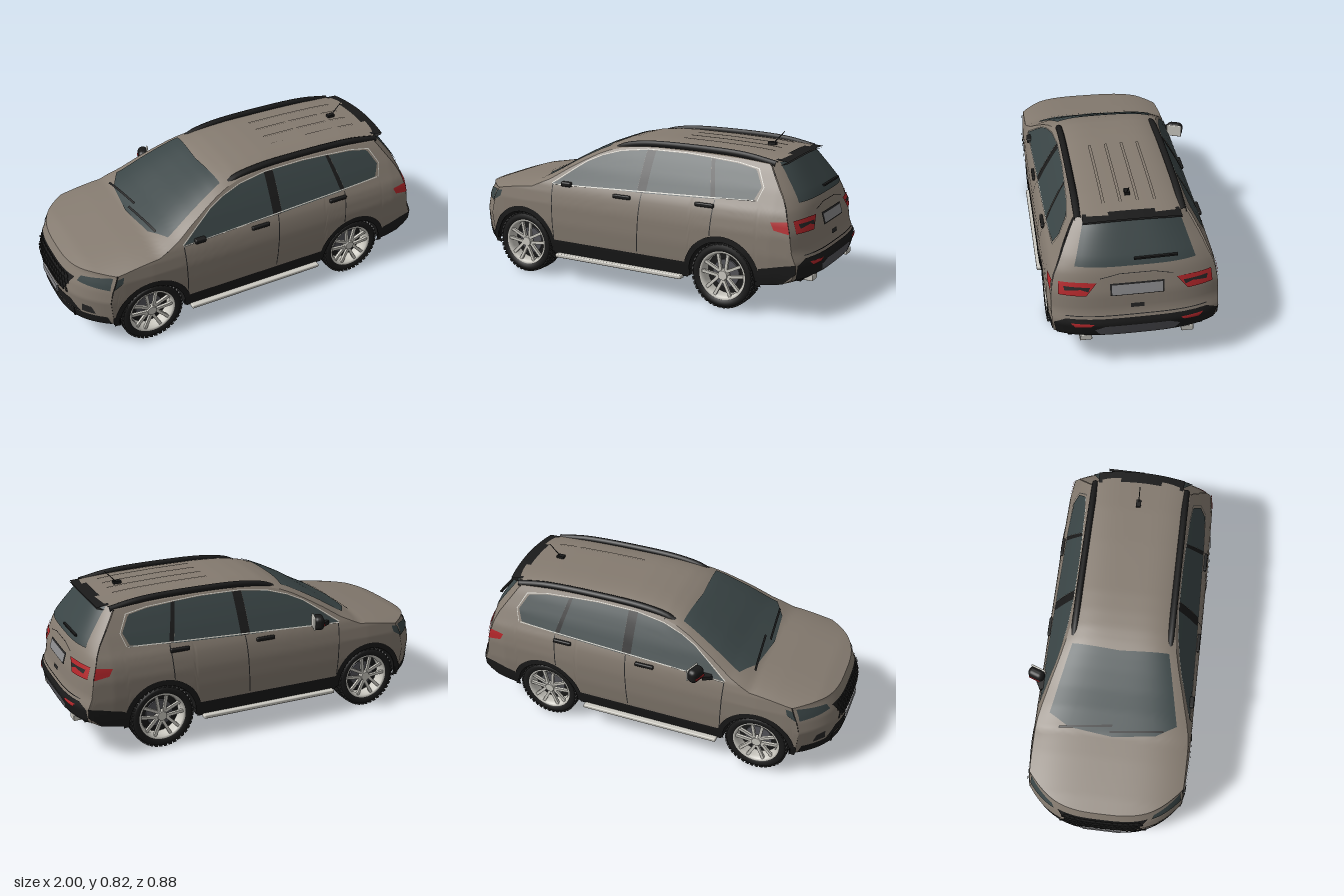
import * as THREE from 'three';
import { mergeGeometries } from 'three/addons/utils/BufferGeometryUtils.js';
import { RoundedBoxGeometry } from 'three/addons/geometries/RoundedBoxGeometry.js';

const mat = (color) => new THREE.MeshStandardMaterial({ color, side: THREE.DoubleSide });
const PAINT = mat(0x857b70), BLACK = mat(0x1a1a1a), TRIM = mat(0x262626), GLASS = mat(0x3a4546);
const RED = mat(0xb3262a), SILVER = mat(0xcccac2), GREY = mat(0x55555a), PLATE = mat(0x8a8a8c);

// Linear interpolation through [position, value] pairs
function interp(pts, x) {
  if (x <= pts[0][0]) return pts[0][1];
  for (let i = 1; i < pts.length; i++) {
    const [a, va] = pts[i - 1], [b, vb] = pts[i];
    if (x <= b) return va + (vb - va) * (x - a) / (b - a);
  }
  return pts[pts.length - 1][1];
}

// Outline curves of the body; the nose points to -x
const TOP = [[-1, .42], [-.95, .438], [-.88, .46], [-.8, .475], [-.68, .497], [-.56, .515], [-.45, .572], [-.36, .625], [-.27, .672],
  [-.2, .705], [-.14, .728], [-.07, .745], [.02, .755], [.12, .76], [.4, .757], [.6, .75], [.85, .73]];
const DROP = [[-.95, .03], [-.6, .035], [-.45, .045], [-.2, .035], [.8, .03]];
const WIDTH = [[.13, .385], [.2, .402], [.3, .41], [.4, .408], [.46, .398], [.5, .386], [.53, .37], [.6, .335], [.68, .289], [.74, .248]];
const TAPER = [[-.85, .965], [-.75, .985], [-.6, 1], [.5, 1], [.8, .985], [.95, .945]];
const NOSE = [[.13, -.95], [.155, -.982], [.3, -.995], [.36, -.982], [.44, -.95]];
const TAIL = [[.17, .93], [.2, .978], [.27, .995], [.33, .972], [.42, .96], [.52, .93], [.57, .905], [.72, .8], [.76, .77]];
const NOSE_UP = [[-.825, .3], [-.812, .36], [-.78, .44]];
const TAIL_UP = [[.735, .72], [.84, .57], [.865, .52], [.895, .42], [.907, .33], [.93, .27]];
const LOW = [[-.825, .3], [-.812, .155], [-.795, .13], [.7, .14], [.865, .17], [.913, .2], [.93, .27]];
const AXLES = [-.61, .555], AXLE_Y = .165, ARCH = .18;

const halfWidth = (x, y) => interp(WIDTH, y) * interp(TAPER, x);
const top = (x, t) => interp(TOP, x) - interp(DROP, x) * Math.abs(t) ** 4;
const noseX = (y, t) => interp(NOSE, y) + .17 * Math.abs(t) ** 3.2;
const tailX = (y, t) => interp(TAIL, y) - .065 * Math.abs(t) ** 3.5;
function rimY(end, t) {
  let y = end === noseX ? .43 : .72;
  for (let i = 0; i < 12; i++) y = (y + top(end(y, t), t)) / 2;
  return y;
}
function sideTop(x) {
  let y = top(x, 1);
  if (x < -.78) y = Math.min(y, interp(NOSE_UP, x));
  if (x > .735) y = Math.min(y, interp(TAIL_UP, x));
  return y;
}
function sideLow(x) {
  const dx = Math.min(...AXLES.map((a) => Math.abs(x - a)));
  return dx < ARCH ? AXLE_Y + Math.sqrt(ARCH ** 2 - dx ** 2) : interp(LOW, x);
}

// Body surfaces: each maps two coordinates to a point, lifted by d
const sideS = (s, d) => (x, y) => [x, y, s * (halfWidth(x, y) + d)];
const roofS = (d) => (x, z) => [x, top(x, Math.min(1, Math.abs(z) / halfWidth(x, top(x, 1)))) + d, z];
const noseS = (d) => (z, y) => [noseX(y, Math.min(1, Math.abs(z) / halfWidth(-.85, y))) - d, y, z];
const tailS = (d) => (z, y) => [tailX(y, Math.min(1, Math.abs(z) / halfWidth(.9, y))) + d, y, z];

function gridGeo(f, nu, nv) {
  const g = new THREE.PlaneGeometry(1, 1, nu, nv), p = g.attributes.position;
  for (let i = 0; i < p.count; i++) p.setXYZ(i, ...f(p.getX(i) + .5, p.getY(i) + .5));
  g.computeVertexNormals();
  return g;
}

export function createModel() {
  const model = new THREE.Group(), car = new THREE.Group();
  car.name = 'car';
  car.position.z = .023;
  model.add(car);
  const add = (name, geo, m, x = 0, y = 0, z = 0, parent = car) => {
    const mesh = new THREE.Mesh(geo, m);
    mesh.name = name;
    mesh.position.set(x, y, z);
    parent.add(mesh);
    return mesh;
  };
  const box = (name, m, w, h, d, x, y, z) => add(name, new THREE.BoxGeometry(w, h, d), m, x, y, z);
  const along = (pts, u, k) => interp(pts.map((p, i) => [i / (pts.length - 1), p[k]]), u);
  // Panel lying on a body surface between two polylines
  const patch = (name, m, surf, A, B, nu = 20, nv = 6) => add(name, gridGeo((u, v) => surf(
    THREE.MathUtils.lerp(along(A, u, 0), along(B, u, 0), v), THREE.MathUtils.lerp(along(A, u, 1), along(B, u, 1), v)), nu, nv), m);
  const rect = (name, m, surf, a0, a1, b0, b1, nu, nv) => patch(name, m, surf, [[a0, b0], [a1, b0]], [[a0, b1], [a1, b1]], nu, nv);

  // Painted shell: hood and roof, nose, tail
  add('hoodAndRoof', gridGeo((u, v) => {
    const t = v * 2 - 1, x0 = noseX(rimY(noseX, t), t), x1 = tailX(rimY(tailX, t), t), x = x0 + (x1 - x0) * u;
    return [x, top(x, t), t * halfWidth(x, top(x, 1))];
  }, 90, 32), PAINT);
  for (const [name, end, low, xe] of [['nose', noseX, .15, -.85], ['tail', tailX, .175, .9]]) {
    add(name, gridGeo((u, v) => {
      const t = u * 2 - 1, y = low + (rimY(end, t) - low) * v;
      return [end(y, t), y, t * halfWidth(xe, y)];
    }, 32, 28), PAINT);
  }

  // Front end: grille, bumper, intake and plate
  patch('grille', BLACK, noseS(.004), [[-.17, .29], [.17, .29]], [[-.23, .395], [.23, .395]], 24);
  const hexes = [];
  for (let r = 0; r < 4; r++) for (let i = -7 + r % 2 * .5; i <= 7; i++) {
    const z = i * .028, y = .306 + r * .024;
    hexes.push(new THREE.TorusGeometry(.014, .002, 4, 6).rotateZ(Math.PI / 6).rotateY(Math.PI / 2).translate(noseX(y, Math.abs(z) / .39) - .005, y, z));
  }
  add('grilleMesh', mergeGeometries(hexes), TRIM);
  rect('frontBumper', BLACK, noseS(.005), -.375, .375, .152, .205, 32);
  patch('lowerIntake', BLACK, noseS(.004), [[-.27, .205], [.27, .205]], [[-.22, .265], [.22, .265]]);
  box('frontPlate', PLATE, .012, .04, .2, -.994, .245, 0);

  // Tail: window, lamps, plate, bumper and exhausts
  patch('rearWindow', GLASS, tailS(.006), [[-.28, .545], [.28, .545]], [[-.222, .715], [.222, .715]], 24, 8);
  rect('rearPlateFrame', TRIM, tailS(.005), -.125, .125, .412, .47);
  rect('rearPlate', PLATE, tailS(.009), -.117, .117, .418, .464);
  patch('tailgateTrim', TRIM, tailS(.005), [[-.17, .493], [-.08, .512], [.08, .512], [.17, .493]], [[-.17, .496], [-.08, .515], [.08, .515], [.17, .496]], 21, 1);
  rect('tailgateSeam', TRIM, tailS(.004), -.33, .33, .309, .313, 24, 1);
  rect('tailgateHandle', TRIM, tailS(.004), -.032, .032, .345, .366);
  patch('rearBumper', BLACK, tailS(.005), [[-.37, .185], [.37, .185]], [[-.385, .272], [-.33, .298], [.33, .298], [.385, .272]], 36, 8);
  patch('rearSkidPlate', GREY, tailS(.008), [[-.16, .185], [.16, .185]], [[-.2, .24], [-.15, .262], [.15, .262], [.2, .24]], 24);
  box('rearWiper', BLACK, .012, .009, .2, .913, .577, -.09).rotation.x = .02;
  patch('spoiler', BLACK, (x, z) => [x - .3 * z * z, top(x, 0) + .003 - .3 * z * z, z],
    [[.765, -.225], [.765, .225]], [[.83, -.23], [.83, .23]], 16, 2);
  patch('spoilerUnderside', BLACK, (x, z) => [x - .3 * z * z, .715 + (x - .79) * .3 - .3 * z * z, z],
    [[.78, -.225], [.78, .225]], [[.83, -.23], [.83, .23]], 16, 2);

  // Windscreen, wipers, roof ribs and antenna
  patch('windscreen', GLASS, roofS(.005), [[-.485, -.325], [-.545, -.22], [-.57, 0], [-.545, .22], [-.485, .325]],
    [[-.16, -.245], [-.175, 0], [-.16, .245]], 32, 24);
  for (const z of [-.14, .12]) patch('windscreenWiper', BLACK, roofS(.012), [[-.555, z - .13], [-.525, z + .14]], [[-.545, z - .13], [-.515, z + .14]], 12, 1);
  for (const z of [-.12, -.04, .04, .12]) rect('roofRib', PAINT, roofS(.004), .2, .7, z - .007, z + .007, 12, 2);
  box('antennaBase', BLACK, .04, .014, .025, .635, .755, 0);
  add('antenna', new THREE.CylinderGeometry(.002, .003, .095, 6), BLACK, .665, .784, 0).rotation.z = -.75;

  const arc = (cx, r) => Array.from({ length: 25 }, (_, i) => {
    const a = Math.PI * (1.04 - 1.08 * i / 24);
    return [cx + r * Math.cos(a), AXLE_Y + r * Math.sin(a)];
  });
  // Window outlines: lower edge, upper edge
  const windows = [
    [[[-.43, .507], [.075, .518]], [[-.4, .525], [-.33, .576], [-.25, .63], [-.17, .666], [-.07, .695], [.075, .713]]],
    [[[.125, .519], [.48, .534]], [[.125, .715], [.3, .716], [.435, .71]]],
    [[[.505, .536], [.7, .553]], [[.455, .708], [.58, .7], [.68, .683], [.725, .61]]],
  ];
  for (const s of [1, -1]) {
    const on = (d) => sideS(s, d);
    add('bodySide', gridGeo((u, v) => {
      const x = -.825 + 1.755 * u, lo = sideLow(x), hi = sideTop(x);
      return on(0)(x, lo + (Math.max(hi, lo) - lo) * v);
    }, 180, 26), PAINT);
    // Side glass, pillars and bright trim
    for (const [a, b] of windows) patch('sideWindow', GLASS, on(.005), a, b, 20, 8);
    rect('centrePillar', BLACK, on(.004), .075, .125, .518, .714, 2, 8);
    patch('rearPillar', BLACK, on(.004), [[.48, .534], [.505, .536]], [[.435, .71], [.455, .708]], 2, 8);
    patch('windowTrim', SILVER, on(.007), [[-.43, .501], [.71, .547]], [[-.43, .506], [.71, .552]], 30, 1);
    patch('upperWindowTrim', SILVER, on(.006), [[-.43, .508], [-.33, .578], [-.25, .632], [-.17, .668], [-.07, .697], [.08, .716], [.3, .719], [.44, .712], [.58, .704], [.69, .686], [.735, .61], [.715, .55]],
      [[-.435, .51], [-.333, .581], [-.252, .635], [-.17, .671], [-.07, .7], [.08, .719], [.3, .722], [.44, .715], [.58, .707], [.694, .689], [.739, .61], [.718, .548]], 44, 1);
    // Door seams and handles
    for (const [p, q] of [[[-.42, .22], [-.43, .5]], [[.085, .22], [.1, .515]], [[.49, .36], [.5, .53]]])
      patch('doorSeam', TRIM, on(.003), [p, q], [[p[0] + .005, p[1]], [q[0] + .005, q[1]]], 12, 1);
    for (const [x, y] of [[-.005, .487], [.455, .503]])
      add('doorHandle', new RoundedBoxGeometry(.1, .02, .018, 2, .006), BLACK, x, y, s * (halfWidth(x, y) + .004));
    // Lower cladding, arches and bumper corners
    rect('sillCladding', BLACK, on(.005), -.425, .37, .13, .21, 20, 4);
    for (const cx of AXLES) {
      patch('archTrim', BLACK, on(.006), arc(cx, ARCH - .007), arc(cx, ARCH + .022), 32, 2);
      add('wheelWell', new THREE.CylinderGeometry(ARCH, ARCH, .14, 28, 1, true, Math.PI / 2, Math.PI).rotateX(Math.PI / 2), BLACK, cx, AXLE_Y, s * .33);
    }
    patch('rearBumperCorner', BLACK, on(.005), [[.735, .148], [.865, .172], [.93, .23]], [[.75, .235], [.865, .262], [.93, .275]], 16, 4);
    patch('frontBumperCorner', BLACK, on(.005), [[-.815, .155], [-.78, .135]], [[-.82, .205], [-.78, .215]], 8, 3);
    // Lamps
    patch('headlamp', GLASS, noseS(.005), [[s * .25, .385], [s * .388, .372]], [[s * .26, .415], [s * .38, .435]], 16, 5);
    patch('headlampSide', GLASS, on(.005), [[-.81, .375], [-.76, .405]], [[-.785, .432], [-.75, .438]], 8, 4);
    patch('fogLampRecess', TRIM, noseS(.003), [[s * .275, .215], [s * .335, .215]], [[s * .285, .262], [s * .325, .258]], 10, 4);
    patch('tailLamp', RED, tailS(.006), [[s * .215, .44], [s * .235, .415], [s * .36, .415]], [[s * .185, .476], [s * .25, .478], [s * .355, .474]], 16, 5);
    patch('tailLampInset', TRIM, tailS(.009), [[s * .225, .437], [s * .26, .447], [s * .33, .437]], [[s * .215, .458], [s * .26, .458], [s * .335, .458]], 12, 2);
    patch('tailLampSide', RED, on(.005), [[.82, .43], [.895, .417]], [[.8, .465], [.882, .474]], 10, 4);
    patch('rearReflector', RED, tailS(.008), [[s * .22, .262], [s * .29, .259]], [[s * .2, .277], [s * .31, .28]], 8, 2);
    // Exhaust tip, running board, roof rail
    add('exhaustTip', new RoundedBoxGeometry(.08, .03, .058, 2, .004), SILVER, .93, .184, s * .24);
    add('runningBoard', new RoundedBoxGeometry(.745, .02, .04, 2, .006), SILVER, -.03, .128, s * .399);
    const railPts = [[-.12, .693], [-.07, .716], [.05, .737], [.3, .744], [.6, .734], [.76, .707]];
    add('roofRail', new THREE.TubeGeometry(new THREE.CatmullRomCurve3(railPts.map(([x, y]) => new THREE.Vector3(x, y, s * .244))), 32, .017, 8), BLACK);
    for (const cx of AXLES) car.add(makeWheel(cx, s, add));
  }

  // Wing mirror on the right, bare mount on the left
  const mirror = new THREE.Group();
  mirror.name = 'wingMirror';
  mirror.position.set(-.29, .538, -.42);
  mirror.rotation.y = -.35;
  car.add(mirror);
  add('mirrorHousing', new RoundedBoxGeometry(.055, .072, .086, 4, .024), BLACK, 0, 0, 0, mirror);
  add('mirrorGlass', new RoundedBoxGeometry(.01, .066, .082, 3, .005), SILVER, .024, 0, 0, mirror);
  add('mirrorIndicator', new THREE.BoxGeometry(.012, .008, .06), RED, -.025, -.008, 0, mirror);
  box('mirrorArm', BLACK, .05, .02, .07, -.33, .515, -.375).rotation.y = .5;
  add('mirrorMount', new RoundedBoxGeometry(.06, .025, .03, 2, .008), BLACK, -.34, .512, .387);

  // Black underbody
  box('underbodySpine', BLACK, 1.72, .23, .53, -.03, .25, 0);
  box('underbodyFloor', BLACK, .8, .12, .76, -.03, .192, 0);
  box('rearValance', BLACK, .13, .11, .72, .802, .225, 0);
  box('rearFloor', BLACK, .08, .06, .64, .89, .208, 0);
  box('frontValance', BLACK, .08, .12, .66, -.83, .212, 0);
  box('frontFloor', BLACK, .1, .05, .46, -.91, .18, 0);
  for (const cx of AXLES) add('axle', new THREE.CylinderGeometry(.02, .02, .66, 10).rotateX(Math.PI / 2), BLACK, cx, AXLE_Y, 0);
  return model;
}

// Treaded tyre with a ten-spoke rim, outer face towards side s
function makeWheel(cx, s, add) {
  const wheel = new THREE.Group();
  wheel.name = 'wheel';
  wheel.position.set(cx, AXLE_Y, s * .3415);
  if (s < 0) wheel.rotation.y = Math.PI;
  const lathe = (pts) => new THREE.LatheGeometry(pts.map((p) => new THREE.Vector2(...p)), 48).rotateX(Math.PI / 2);
  add('tyre', lathe([[.115, -.045], [.125, -.054], [.145, -.056], [.157, -.048], [.161, -.03], [.161, .03], [.157, .048], [.145, .056], [.127, .054], [.117, .045]]), BLACK, 0, 0, 0, wheel);
  const blocks = [], spokes = [];
  for (let i = 0; i < 40; i++) for (const z of [-.042, -.014, .014, .042]) {
    blocks.push(new THREE.BoxGeometry(.017, .008, .022).rotateY(.3 * Math.sign(z)).translate(0, Math.abs(z) > .03 ? .159 : .161, z)
      .rotateZ((i + (z > 0 ? .5 : 0)) * Math.PI / 20));
  }
  add('tread', mergeGeometries(blocks), TRIM, 0, 0, 0, wheel);
  add('rim', lathe([[.103, -.045], [.118, -.047], [.118, -.04], [.107, -.03], [.104, .03], [.111, .046], [.121, .051], [.124, .046]]), SILVER, 0, 0, 0, wheel);
  for (let i = 0; i < 5; i++) for (const k of [-1, 1]) {
    spokes.push(new THREE.BoxGeometry(.015, .095, .014).rotateX(.06).rotateZ(k * -.16).translate(k * .02, .066, .036).rotateZ(i * Math.PI * .4));
  }
  add('spokes', mergeGeometries(spokes), SILVER, 0, 0, 0, wheel);
  add('hub', new THREE.CylinderGeometry(.024, .03, .025, 20).rotateX(Math.PI / 2), SILVER, 0, 0, .034, wheel);
  add('brakeDisc', new THREE.CylinderGeometry(.07, .07, .01, 28).rotateX(Math.PI / 2), GREY, 0, 0, 0, wheel);
  add('innerCover', new THREE.CylinderGeometry(.103, .103, .006, 28).rotateX(Math.PI / 2), BLACK, 0, 0, -.012, wheel);
  return wheel;
}
